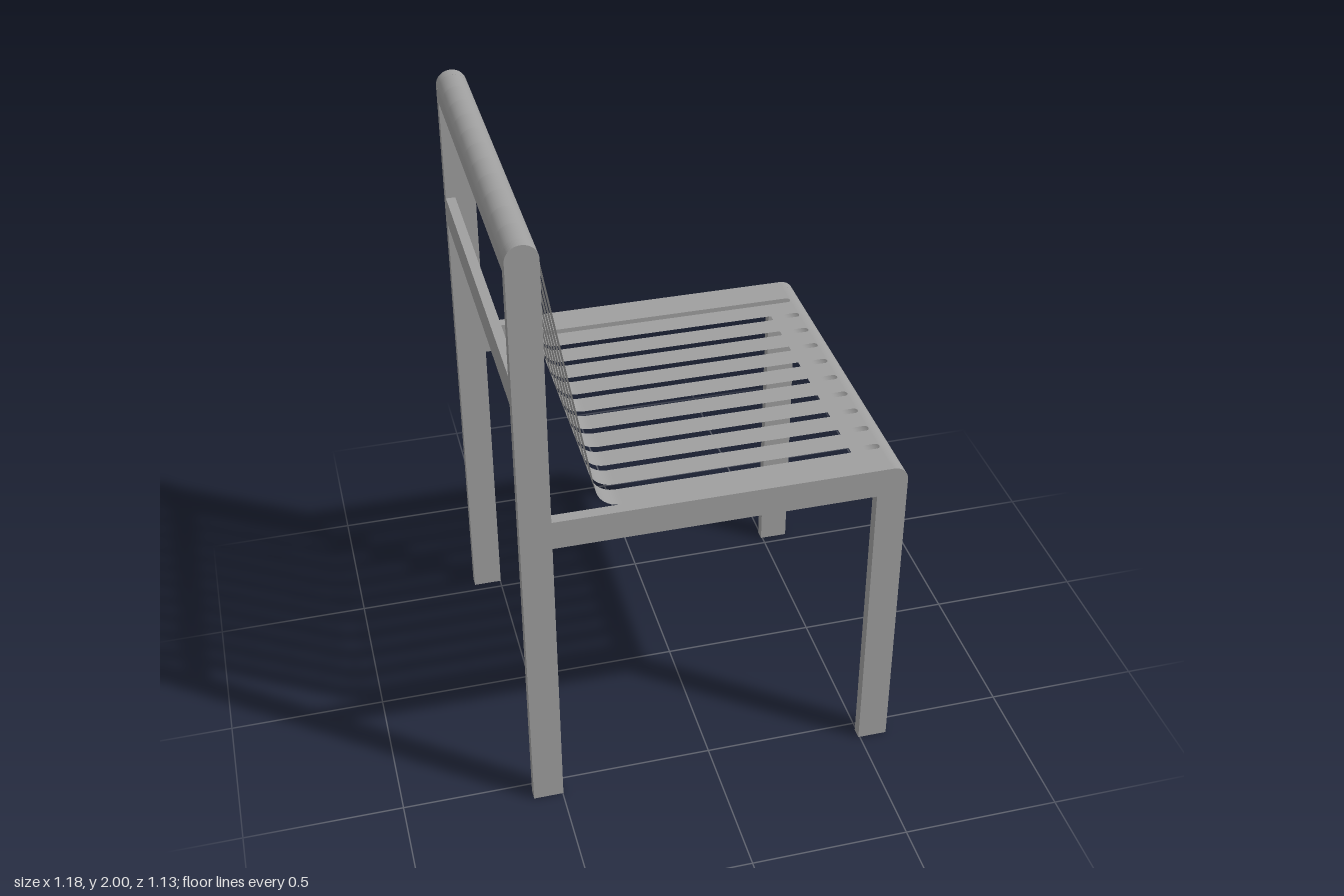
import * as THREE from 'three';

const INNER = 0.53, OUTER = 0.566;            // side frame faces in z
const BACK = -0.593, FRONT = 0.59, LEG = 0.095;
const R = LEG / 2;                            // radius of top roll and seat nose
const SEAT_Y = 1.086, RAIL_Y = SEAT_Y - LEG;
const TOP_X = BACK + R, TOP_Y = 2 - R, NOSE_X = FRONT - R, NOSE_Y = SEAT_Y - R;

// Flat side frame: tall round-topped rear leg, seat rail, front leg
function frameGeometry() {
  const s = new THREE.Shape();
  s.moveTo(BACK, 0);
  s.lineTo(BACK + LEG, 0);
  s.lineTo(BACK + LEG, RAIL_Y);
  s.lineTo(FRONT - LEG, RAIL_Y);
  s.lineTo(FRONT - LEG, 0);
  s.lineTo(FRONT, 0);
  s.lineTo(FRONT, NOSE_Y);
  s.absarc(NOSE_X, NOSE_Y, R, 0, Math.PI / 2, false);
  s.lineTo(BACK + LEG, SEAT_Y);
  s.lineTo(BACK + LEG, TOP_Y);
  s.absarc(TOP_X, TOP_Y, R, 0, Math.PI, false);
  s.closePath();
  return new THREE.ExtrudeGeometry(s, { depth: OUTER - INNER, bevelEnabled: false, curveSegments: 20 });
}

// Side profile of the bent sheet, from the back of the top roll to under the nose
function sheetPath() {
  const tilt = 0.171, bend = 0.075;
  const p = new THREE.Path();
  p.moveTo(BACK, 1.91);
  p.lineTo(BACK, TOP_Y);
  p.absarc(TOP_X, TOP_Y, R, Math.PI, tilt, true);
  p.absarc(-0.285, SEAT_Y + bend, bend, Math.PI + tilt, Math.PI * 1.5, false);
  p.lineTo(NOSE_X, SEAT_Y);
  p.absarc(NOSE_X, NOSE_Y, R, Math.PI / 2, -Math.PI / 2, true);
  p.lineTo(FRONT - LEG, RAIL_Y);
  p.arcLengthDivisions = 2000;
  return p;
}

// Sheet swept across z, pierced by ten long slots with round ends
function slattedSheetGeometry() {
  const path = sheetPath(), length = path.getLength();
  const slotR = 0.0125, pitch = 0.0985, slots = 10;
  const slotStart = 0.05 + R * Math.PI;
  const slotEnd = length - R - Math.PI * R - 0.002;

  const rows = [];
  for (let i = 0; i <= 240; i++) rows.push(length * i / 240);
  for (let i = 0; i <= 8; i++) {
    const d = slotR * (1 - Math.cos(i / 8 * Math.PI / 2));
    rows.push(slotStart + d, slotEnd - d);
  }
  rows.sort((a, b) => a - b);

  const position = [], index = [], cols = 2 + slots * 2;
  rows.forEach((s, r) => {
    const pt = path.getPointAt(Math.min(s / length, 1));
    const inside = Math.min(s - slotStart, slotEnd - s);
    const off = Math.max(0, slotR - Math.max(inside, 0));
    const half = Math.sqrt(Math.max(0, slotR * slotR - off * off));
    const zs = [-INNER];
    for (let k = 0; k < slots; k++) {
      const c = (k - (slots - 1) / 2) * pitch;
      zs.push(c - half, c + half);
    }
    zs.push(INNER);
    zs.forEach(z => position.push(pt.x, pt.y, z));
    if (r === 0) return;
    for (let c = 0; c < cols; c += 2) {
      const a = (r - 1) * cols + c, b = a + cols;
      index.push(a, a + 1, b, a + 1, b + 1, b);
    }
  });
  const g = new THREE.BufferGeometry();
  g.setAttribute('position', new THREE.Float32BufferAttribute(position, 3));
  g.setIndex(index);
  g.computeVertexNormals();
  return g;
}

export function createModel() {
  const group = new THREE.Group();
  group.name = 'chair';
  const solid = new THREE.MeshStandardMaterial({ color: 0x9f9f9f });
  const thin = new THREE.MeshStandardMaterial({ color: 0x9f9f9f, side: THREE.DoubleSide });
  const add = (name, geometry, material) => {
    const m = new THREE.Mesh(geometry, material);
    m.name = name;
    group.add(m);
    return m;
  };

  // Two side frames
  const frame = frameGeometry();
  add('sideFrameNear', frame, solid).position.z = INNER;
  add('sideFrameFar', frame, solid).position.z = -OUTER;

  // Seat and backrest in one bent sheet
  add('slattedSeatAndBack', slattedSheetGeometry(), thin);

  // Rail joining the rear legs behind the backrest
  const depth = 0.03;
  add('backCrossRail', new THREE.BoxGeometry(depth, LEG, INNER * 2), solid)
    .position.set(BACK + depth / 2, 1.534, 0);

  return group;
}
